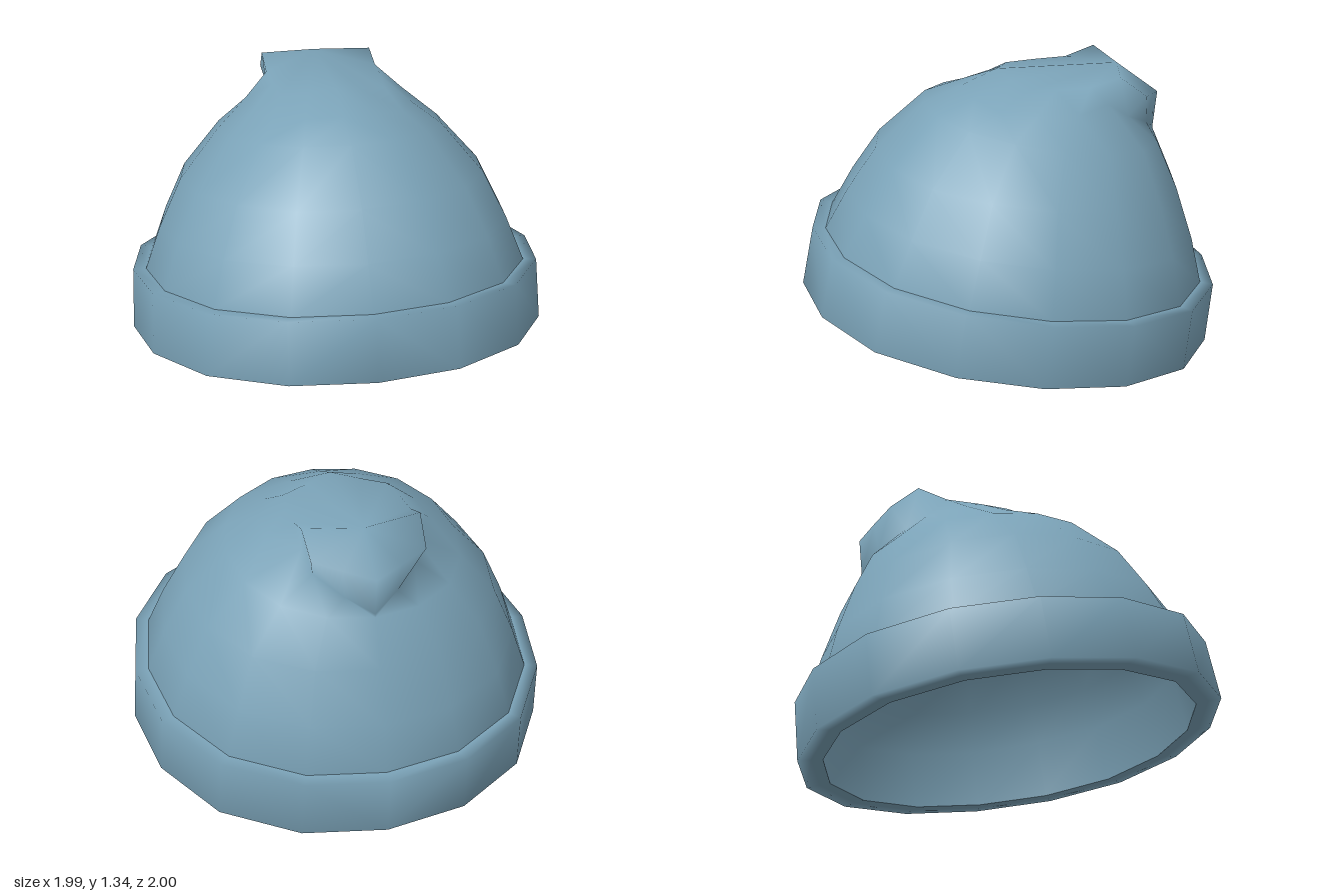
import * as THREE from 'three';

const N = 16;
const TILT = 0.151; // the brim sits higher at the front
const THICK = 0.055; // thickness of the knit

// One 16-sided ring, a little fuller on the diagonals; angle 0 is the front, then towards +x
function ring(cy, cz, rx, rz, rise) {
  return Array.from({ length: N }, (_, i) => {
    const a = (i / N) * Math.PI * 2;
    const full = 1 + 0.025 * Math.sin(2 * a) ** 2;
    const s = full * Math.sin(a), c = full * Math.cos(a);
    return [rx * s, cy + rise * c, cz + rz * c];
  });
}

// Ring of radius r at height h along the tilted brim axis
function brimRing(r, h) {
  const c = Math.cos(TILT), s = Math.sin(TILT);
  return ring(0.154 + h * c, 0.015 - h * s, r, r * c, r * s);
}

// Ring through a front point and a back point, each [z, y], with half width rx
function domeRing([fz, fy], [bz, by], rx) {
  return ring((fy + by) / 2, (fz + bz) / 2, rx, (fz - bz) / 2, (fy - by) / 2);
}

// Full ring from its +x half, listed front to back
function mirrorRing(half) {
  return half.concat(half.slice(1, 8).reverse().map(([x, y, z]) => [-x, y, z]));
}

// Smooth skin over rings from bottom to top, optionally closed at an apex;
// the diagonals of the two halves mirror each other
function loft(rings, apex) {
  const index = [];
  for (let k = 0; k < rings.length - 1; k++) {
    for (let i = 0; i < N; i++) {
      const a = k * N + i, b = k * N + ((i + 1) % N);
      if (i < N / 2) index.push(a, b, a + N, b, b + N, a + N);
      else index.push(a, b, b + N, a, b + N, a + N);
    }
  }
  const points = rings.flat();
  if (apex) {
    const base = (rings.length - 1) * N;
    for (let i = 0; i < N; i++) index.push(base + i, base + ((i + 1) % N), points.length);
    points.push(apex);
  }
  const geo = new THREE.BufferGeometry();
  geo.setAttribute('position', new THREE.Float32BufferAttribute(points.flat(), 3));
  geo.setIndex(index);
  geo.computeVertexNormals();
  return geo;
}

// The same skin moved inwards along its normals
function inset(geo, distance) {
  const inner = geo.clone();
  const pos = inner.attributes.position, normal = geo.attributes.normal;
  const p = new THREE.Vector3(), n = new THREE.Vector3();
  for (let i = 0; i < pos.count; i++) {
    p.fromBufferAttribute(pos, i).addScaledVector(n.fromBufferAttribute(normal, i), -distance);
    pos.setXYZ(i, p.x, p.y, p.z);
  }
  inner.computeVertexNormals();
  return inner;
}

export function createModel() {
  const group = new THREE.Group();
  group.name = 'knitHat';
  const material = new THREE.MeshStandardMaterial({ color: 0x7ba3b8, side: THREE.DoubleSide });
  const add = (name, geo) => {
    const mesh = new THREE.Mesh(geo, material);
    mesh.name = name;
    group.add(mesh);
  };

  // Neck: follows the dome in front, pinched in under the tip at the back
  const neck = mirrorRing([
    [0, 1.25, 0.225], [0.17, 1.235, 0.185], [0.31, 1.205, 0.09], [0.375, 1.2, -0.07],
    [0.385, 1.195, -0.26], [0.26, 1.2, -0.43], [0.235, 1.13, -0.53], [0.12, 1.06, -0.65],
    [0, 0.995, -0.717],
  ]);

  // Rim of the slouching tip, overhanging the neck
  const tip = mirrorRing([
    [0, 1.325, 0.05], [0.125, 1.3, 0.005], [0.25, 1.28, -0.04], [0.265, 1.285, -0.18],
    [0.27, 1.29, -0.34], [0.27, 1.33, -0.48], [0.26, 1.23, -0.61], [0.13, 1.2, -0.675],
    [0, 1.17, -0.735],
  ]);
  tip[11][1] = 1.34; // one fold stands slightly higher

  // Crown: a leaning dome with a lining inside
  const crown = loft([
    brimRing(0.935, 0),
    brimRing(0.92, 0.29),
    domeRing([0.77, 0.77], [-0.89, 0.52], 0.84),
    domeRing([0.63, 0.97], [-0.81, 0.77], 0.73),
    domeRing([0.4, 1.18], [-0.72, 0.98], 0.54),
    neck,
    tip,
  ], [0, 1.325, -0.53]);
  add('crown', crown);
  add('lining', inset(crown, THICK));

  // Hem closing the gap between lining and crown
  add('hem', loft([brimRing(0.935 - THICK, -0.003), brimRing(0.935, 0)]));

  // Turned-up brim around the opening
  add('brim', loft([
    brimRing(0.935, 0),
    brimRing(0.997, 0),
    brimRing(0.982, 0.29),
    brimRing(0.92, 0.29),
  ]));

  return group;
}
